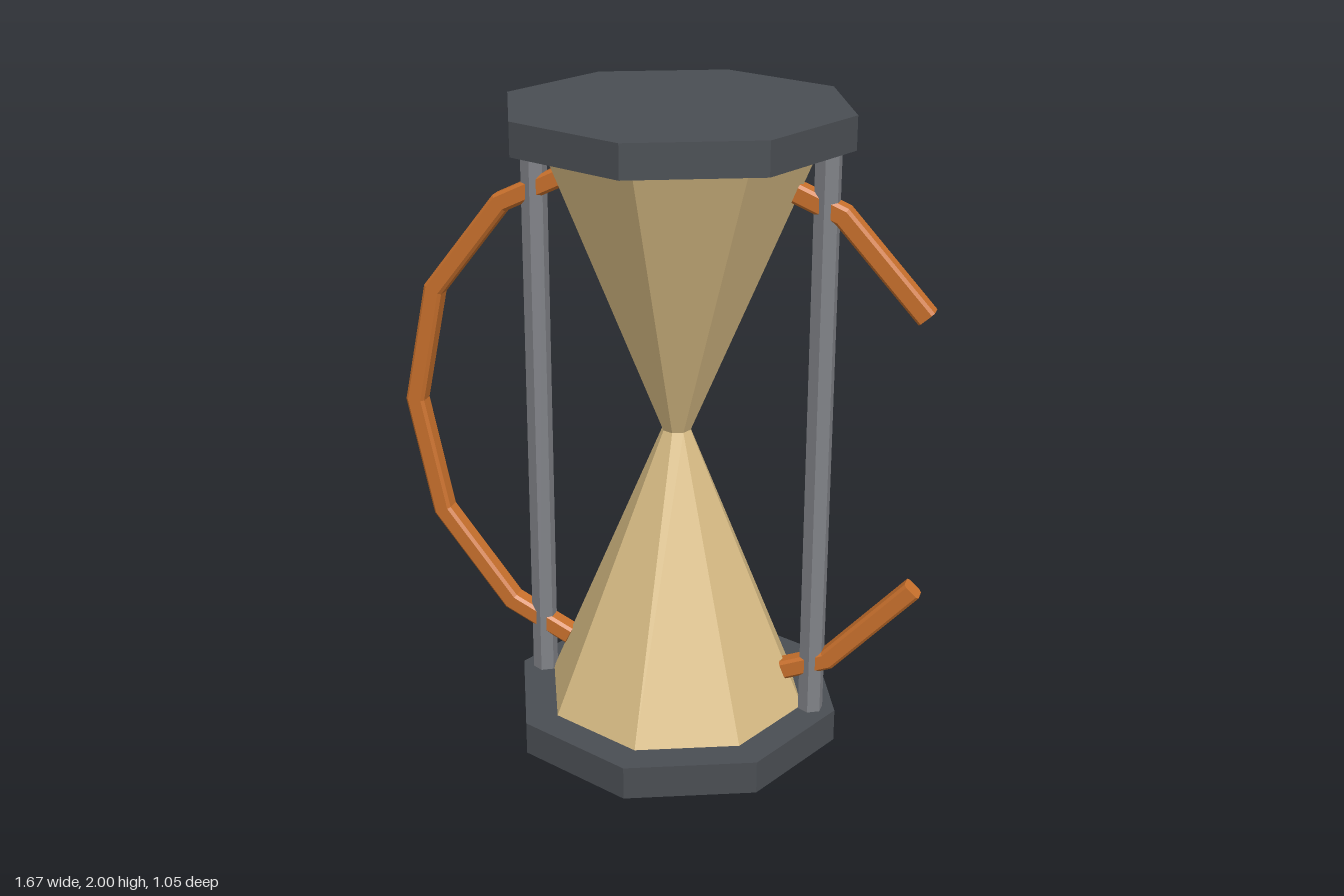
import * as THREE from 'three';

const CX = 0.06; // axis of the hourglass body

const darkPlate = new THREE.MeshStandardMaterial({ color: 0x4a4e53 });
darkPlate.name = 'dark grey';
const greyRod = new THREE.MeshStandardMaterial({ color: 0x808287 });
greyRod.name = 'mid grey';
const sand = new THREE.MeshStandardMaterial({ color: 0xd9bd85 });
sand.name = 'sand';
const copper = new THREE.MeshStandardMaterial({ color: 0xc8702c });
copper.name = 'copper orange';

// Give every face its own normal
function faceted(geometry) {
  const g = geometry.index ? geometry.toNonIndexed() : geometry;
  g.computeVertexNormals();
  return g;
}

function prism(name, rTop, rBottom, y0, y1, x, sides, material) {
  const g = faceted(new THREE.CylinderGeometry(rTop, rBottom, y1 - y0, sides));
  const mesh = new THREE.Mesh(g, material);
  mesh.name = name;
  mesh.position.set(x, (y0 + y1) / 2, 0);
  return mesh;
}

// Mitred bar with a chamfered square section, swept along a path in the xy plane
function bar(name, points, material) {
  const h = 0.03, c = 0.021;
  const section = [[h, -c], [h, c], [c, h], [-c, h], [-h, c], [-h, -c], [-c, -h], [c, -h]];
  const pts = points.map(([x, y]) => new THREE.Vector2(x, y));
  const last = pts.length - 1;
  const dir = (i) => pts[i + 1].clone().sub(pts[i]).normalize();
  const rings = pts.map((p, i) => {
    const a = dir(Math.max(i - 1, 0));
    const b = dir(Math.min(i, last - 1));
    const t = a.clone().add(b).normalize();
    const stretch = 1 / t.dot(b);
    return section.map(([n, z]) => [p.x - t.y * n * stretch, p.y + t.x * n * stretch, z]);
  });
  const pos = [];
  const tri = (...corners) => corners.forEach((v) => pos.push(...v));
  const count = section.length;
  for (let i = 0; i < last; i++) {
    for (let k = 0; k < count; k++) {
      const m = (k + 1) % count;
      tri(rings[i][k], rings[i][m], rings[i + 1][m]);
      tri(rings[i][k], rings[i + 1][m], rings[i + 1][k]);
    }
  }
  for (let k = 1; k < count - 1; k++) {
    tri(rings[0][0], rings[0][k + 1], rings[0][k]);
    tri(rings[last][0], rings[last][k], rings[last][k + 1]);
  }
  const g = new THREE.BufferGeometry();
  g.setAttribute('position', new THREE.Float32BufferAttribute(pos, 3));
  const mesh = new THREE.Mesh(faceted(g), material);
  mesh.name = name;
  return mesh;
}

export function createModel() {
  const model = new THREE.Group();
  model.name = 'hourglass';

  // Octagonal end plates
  model.add(prism('bottomPlate', 0.525, 0.525, 0, 0.105, CX, 8, darkPlate));
  model.add(prism('topPlate', 0.525, 0.525, 1.9, 2, CX, 8, darkPlate));

  // Two sand cones meeting at the neck
  model.add(prism('lowerCone', 0.045, 0.42, 0.1, 1, CX, 8, sand));
  model.add(prism('upperCone', 0.42, 0.045, 1, 1.9, CX, 8, sand));

  // Hexagonal side rods
  model.add(prism('rightRod', 0.04, 0.04, 0.1, 1.9, CX - 0.448, 6, greyRod));
  model.add(prism('leftRod', 0.04, 0.04, 0.1, 1.9, CX + 0.446, 6, greyRod));

  // Curved handle on one side, open arms on the other
  const flip = (path) => path.map(([x, y]) => [x, 2 - y]);
  const arc = [[-0.297, 1.763], [-0.495, 1.667], [-0.725, 1.373]];
  model.add(bar('handle', [...arc, [-0.803, 1], ...flip(arc).reverse()], copper));
  const arm = [[0.418, 1.768], [0.556, 1.711], [0.811, 1.432]];
  model.add(bar('upperArm', arm, copper));
  model.add(bar('lowerArm', flip(arm), copper));

  return model;
}
